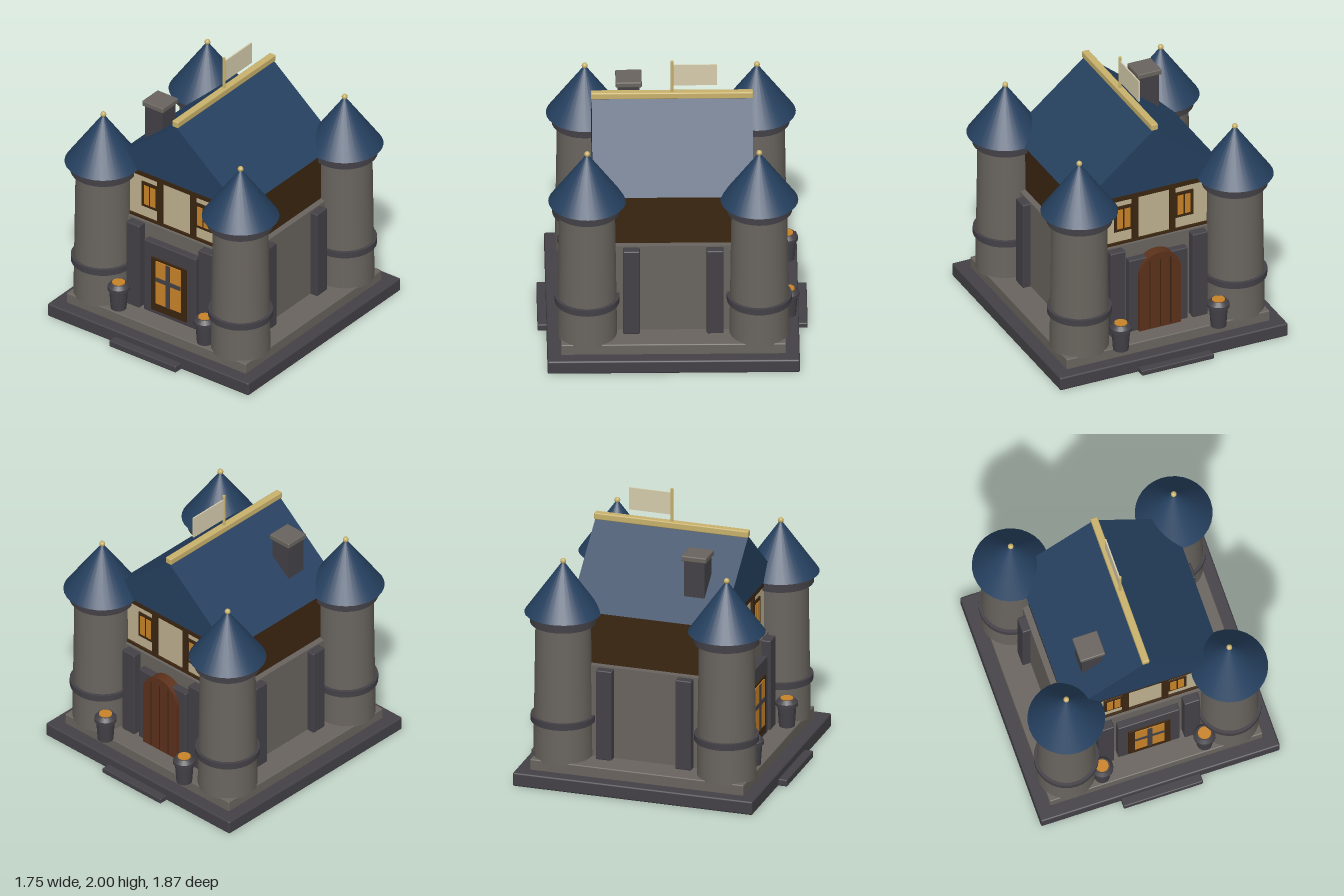
import * as THREE from 'three';
import { RoundedBoxGeometry } from 'three/addons/geometries/RoundedBoxGeometry.js';

const mat = (name, color) => {
  const m = new THREE.MeshStandardMaterial({ color });
  m.name = name;
  return m;
};

export function createModel() {
  const root = new THREE.Group();
  root.name = 'castleHouse';
  const stone = mat('stone', 0x69645e);
  const slate = mat('dark stone', 0x434146);
  const roofBlue = mat('roof blue', 0x25405f);
  const timber = mat('timber', 0x3c2611);
  const plaster = mat('plaster', 0xbfb290);
  const cloth = mat('cloth', 0xd6ccac);
  const gold = mat('gold', 0xc9b26c);
  const glow = mat('glowing glass', 0xc98429);
  const doorWood = mat('door wood', 0x5c311b);

  const add = (name, geo, material, parent = root, x = 0, y = 0, z = 0) => {
    const m = new THREE.Mesh(geo, material);
    m.name = name;
    m.position.set(x, y, z);
    parent.add(m);
    return m;
  };
  // Box given by its limits on each axis
  const box = (name, material, [x0, x1], [y0, y1], [z0, z1], parent = root, r = 0) => {
    const s = [x1 - x0, y1 - y0, z1 - z0];
    const geo = r ? new RoundedBoxGeometry(...s, 2, r) : new THREE.BoxGeometry(...s);
    return add(name, geo, material, parent, (x0 + x1) / 2, (y0 + y1) / 2, (z0 + z1) / 2);
  };
  // Cylinder or cone from y0 to y1
  const drum = (name, material, r0, r1, y0, y1, parent, seg = 32) =>
    add(name, new THREE.CylinderGeometry(r1, r0, y1 - y0, seg), material, parent, 0, (y0 + y1) / 2, 0);

  // Foundation and steps
  box('baseSlab', slate, [-0.875, 0.875], [0, 0.1], [-0.875, 0.875], root, 0.012);
  box('plinth', stone, [-0.78, 0.78], [0.09, 0.177], [-0.78, 0.78], root, 0.008);
  box('frontStep', slate, [-0.29, 0.29], [0, 0.05], [0.8, 0.937], root, 0.008);
  box('backStep', slate, [-0.277, 0.277], [0, 0.04], [-0.937, -0.8], root, 0.008);

  // Walls
  box('lowerWall', stone, [-0.575, 0.575], [0.17, 0.85], [-0.57, 0.57]);
  box('upperStorey', timber, [-0.53, 0.53], [0.84, 1.245], [-0.53, 0.53]);

  // Buttresses, a pair on each side
  for (const s of [-1, 1]) for (const t of [-1, 1]) {
    const c = t * 0.315;
    const out = s < 0 ? [-0.635, -0.55] : [0.55, 0.635];
    box('endButtress', slate, [c - 0.058, c + 0.058], [0.175, 0.84], out, root, 0.008);
    const d = t * 0.29;
    box('sideButtress', slate, out, [0.175, 0.84], [d - 0.058, d + 0.058], root, 0.008);
  }

  // Timber framing, plaster and windows on both gable ends
  for (const turn of [0, Math.PI]) {
    const end = new THREE.Group();
    end.name = turn ? 'backFacade' : 'frontFacade';
    end.rotation.y = turn;
    root.add(end);
    box('plasterPanel', plaster, [-0.5, 0.5], [0.86, 1.21], [0.525, 0.535], end);
    box('sillBeam', timber, [-0.53, 0.53], [0.85, 0.868], [0.52, 0.55], end);
    box('topBeam', timber, [-0.53, 0.53], [1.197, 1.243], [0.52, 0.55], end);
    for (const s of [-1, 1]) {
      const span = (a, b) => (s > 0 ? [a, b] : [-b, -a]);
      box('post', timber, span(0.121, 0.166), [0.86, 1.21], [0.52, 0.55], end);
      box('cornerPost', timber, span(0.48, 0.53), [0.86, 1.21], [0.52, 0.55], end);
      box('windowFrame', timber, span(0.16, 0.303), [0.952, 1.15], [0.52, 0.545], end);
      box('windowPane', glow, span(0.182, 0.226), [0.975, 1.127], [0.542, 0.549], end);
      box('windowPane', glow, span(0.238, 0.281), [0.975, 1.127], [0.542, 0.549], end);
    }
    box('doorSurround', slate, [-0.225, 0.225], [0.175, 0.745], [0.55, 0.625], end, 0.008);
  }
  for (const x of [-0.53, 0.53])
    box('sideSeam', timber, [x - 0.004, x + 0.004], [0.965, 1.13], [-0.228, -0.222]);

  // Glazed front door
  box('frontDoorFrame', timber, [-0.153, 0.153], [0.21, 0.635], [0.6, 0.636]);
  box('frontDoorGlass', glow, [-0.108, 0.108], [0.275, 0.618], [0.634, 0.642]);
  box('doorBarUpright', slate, [-0.016, 0.016], [0.275, 0.618], [0.64, 0.648]);
  box('doorBarCross', slate, [-0.108, 0.108], [0.457, 0.488], [0.64, 0.648]);

  // Arched plank door at the back
  const arch = new THREE.Shape();
  arch.moveTo(-0.16, 0.175);
  arch.lineTo(0.16, 0.175);
  arch.lineTo(0.16, 0.615);
  arch.absarc(0, 0.615, 0.16, 0, Math.PI, false);
  arch.closePath();
  add('backDoor', new THREE.ExtrudeGeometry(arch, { depth: 0.085, bevelEnabled: false, curveSegments: 16 }),
    doorWood, root, 0, 0, -0.65);
  for (const x of [-0.08, 0, 0.08])
    box('plankGroove', timber, [x - 0.004, x + 0.004], [0.19, 0.72], [-0.653, -0.646]);

  // Main roof with gold ridge
  const gable = new THREE.Shape([[-0.572, 1.24], [0.572, 1.24], [0, 1.715]].map(p => new THREE.Vector2(...p)));
  add('mainRoof', new THREE.ExtrudeGeometry(gable, { depth: 1.115, bevelEnabled: false }), roofBlue, root, 0, 0, -0.5575);
  box('roofRidge', gold, [-0.026, 0.026], [1.708, 1.757], [-0.563, 0.563], root, 0.008);

  // Flag
  add('flagPole', new THREE.CylinderGeometry(0.012, 0.012, 0.26, 12), gold, root, 0, 1.87, 0);
  box('flag', cloth, [-0.005, 0.005], [1.807, 1.97], [-0.312, -0.008]);

  // Chimney
  box('chimney', slate, [-0.405, -0.255], [1.3, 1.65], [0.222, 0.372]);
  box('chimneyCap', stone, [-0.421, -0.239], [1.643, 1.684], [0.206, 0.388], root, 0.008);

  // Corner towers
  for (const x of [-0.597, 0.597]) for (const z of [-0.597, 0.597]) {
    const tower = new THREE.Group();
    tower.name = 'tower';
    tower.position.set(x, 0, z);
    root.add(tower);
    drum('towerShaft', stone, 0.208, 0.193, 0.165, 1.18, tower);
    drum('towerBand', slate, 0.226, 0.226, 0.432, 0.478, tower);
    drum('towerCollar', slate, 0.23, 0.23, 1.16, 1.236, tower);
    drum('towerRoof', roofBlue, 0.27, 0.004, 1.235, 1.612, tower);
    add('towerFinial', new THREE.SphereGeometry(0.021, 12, 8), gold, tower, 0, 1.612, 0);
  }

  // Brazier pots beside both doors
  const pot = [[0, 0], [0.055, 0], [0.066, 0.155], [0.078, 0.155], [0.078, 0.18], [0.056, 0.207], [0.048, 0.207], [0.048, 0.19]];
  // Doubled corner points keep the rims crisp
  const potProfile = pot.flatMap(p => [new THREE.Vector2(...p), new THREE.Vector2(...p)]);
  for (const x of [-0.375, 0.375]) for (const z of [-0.8, 0.715]) {
    const brazier = new THREE.Group();
    brazier.name = 'brazier';
    brazier.position.set(x, 0.175, z);
    root.add(brazier);
    add('pot', new THREE.LatheGeometry(potProfile, 20), slate, brazier);
    drum('embers', glow, 0.05, 0.045, 0.17, 0.212, brazier, 20);
  }
  return root;
}
